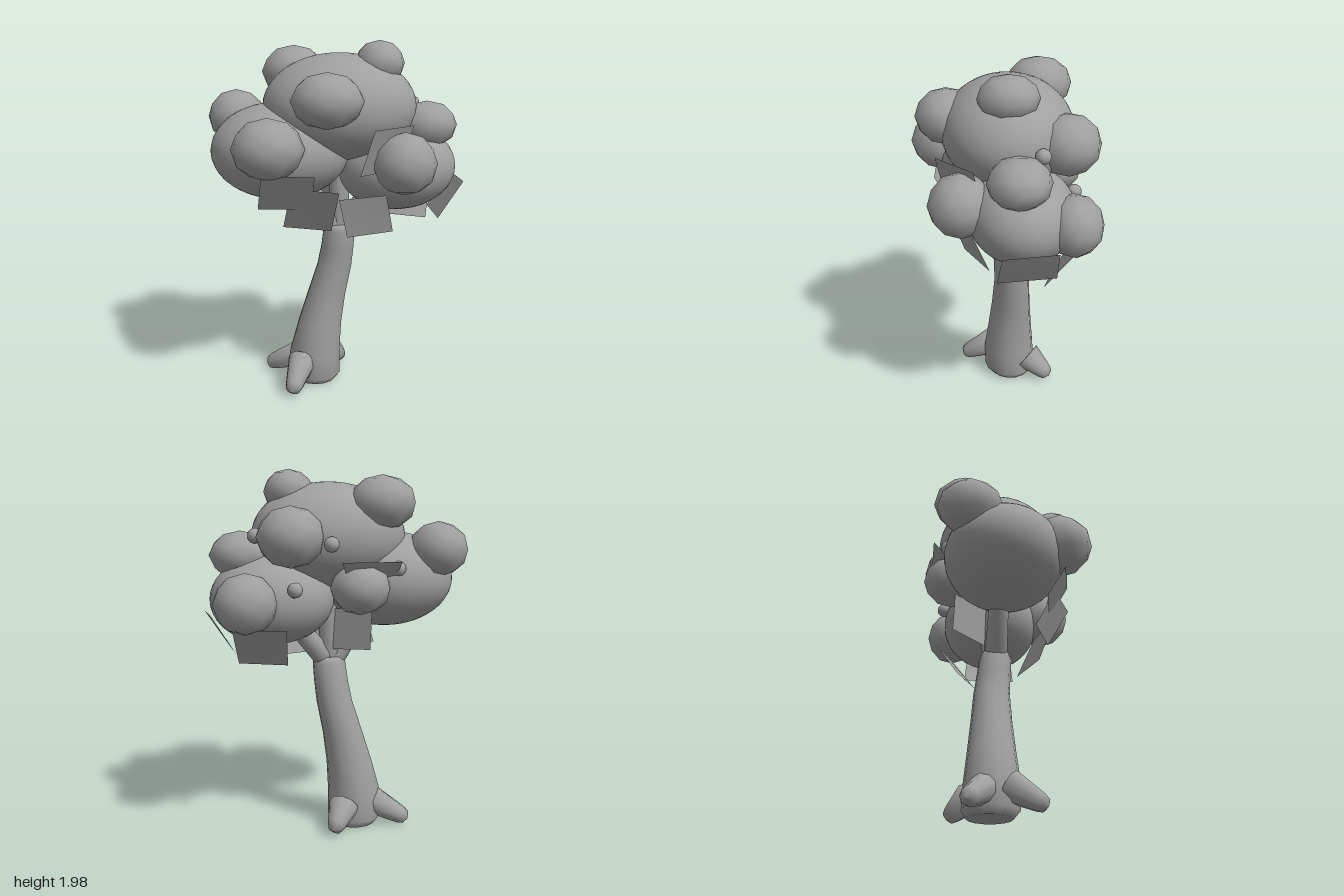
import * as THREE from 'three';
import { mergeVertices } from 'three/addons/utils/BufferGeometryUtils.js';

const V = (p) => new THREE.Vector3(...p);

export function createModel() {
  const tree = new THREE.Group();
  const grey = new THREE.MeshStandardMaterial({ name: 'plain grey', color: 0xa0a0a0 });
  const greyLeaf = grey;
  greyLeaf.side = THREE.DoubleSide;

  const add = (name, geometry) => {
    const mesh = new THREE.Mesh(geometry, grey);
    mesh.name = name;
    tree.add(mesh);
    return mesh;
  };

  // Ellipsoid from a subdivided icosahedron
  const blob = (name, [x, y, z], [rx, ry, rz], detail) => {
    const mesh = add(name, new THREE.IcosahedronGeometry(1, detail).scale(rx, ry, rz));
    mesh.position.set(x, y, z);
  };

  // Round solid tapering from one point to another, with smooth rounded tip
  const limb = (name, from, to, r0, r1, round = 0) => {
    const a = V(from), b = V(to), len = a.distanceTo(b);
    const profile = [new THREE.Vector2(0, 0), new THREE.Vector2(r0, 0), new THREE.Vector2(r1, len)];
    if (round) {
      profile.push(new THREE.Vector2(r1 * 0.75, len + round * 0.65));
    }
    profile.push(new THREE.Vector2(0, len + round));
    const mesh = add(name, new THREE.LatheGeometry(profile, 10));
    mesh.position.copy(a);
    mesh.quaternion.setFromUnitVectors(new THREE.Vector3(0, 1, 0), b.sub(a).normalize());
  };

  // Trunk: rings of [height, radius, centre x, centre z] following a gentle lean
  const rings = [
    [0.02, 0.001, -0.115, -0.07], [0.02, 0.12, -0.115, -0.07], [0.06, 0.15, -0.118, -0.065],
    [0.2, 0.148, -0.118, -0.06], [0.38, 0.128, -0.088, -0.063], [0.55, 0.112, -0.05, -0.065],
    [0.73, 0.1, -0.003, -0.065], [0.85, 0.094, 0.015, -0.055], [0.95, 0.091, 0.024, -0.046],
    [0.985, 0.075, 0.025, -0.045], [0.99, 0.001, 0.025, -0.045],
  ];
  let trunk = new THREE.LatheGeometry(rings.map(([y, r]) => new THREE.Vector2(r, y)), 14);
  const pos = trunk.attributes.position;
  for (let i = 0; i < pos.count; i++) {
    const [, , cx, cz] = rings[i % rings.length];
    pos.setX(i, pos.getX(i) + cx);
    pos.setZ(i, pos.getZ(i) + cz);
  }
  trunk.deleteAttribute('uv');
  trunk.deleteAttribute('normal');
  trunk = mergeVertices(trunk);
  trunk.computeVertexNormals();
  add('trunk', trunk);

  // Roots
  [
    [[-0.19, 0.16, -0.09], [-0.37, 0.07, -0.165]],
    [[-0.19, 0.17, 0.03], [-0.235, 0.075, 0.18]],
    [[-0.04, 0.15, -0.17], [0.02, 0.075, -0.265]],
  ].forEach(([a, b]) => limb('root', a, b, 0.085, 0.05, 0.045));

  // Branches reaching into the crown
  [[-0.22, 1.3, -0.02], [0.28, 1.25, -0.1], [0.03, 1.5, -0.06]]
    .forEach((end) => limb('branch', [0.02, 0.94, -0.045], end, 0.065, 0.05));

  // Three large crown masses
  blob('crownTop', [0.025, 1.645, -0.035], [0.42, 0.29, 0.35], 6);
  blob('crownRightLobe', [-0.3, 1.41, 0], [0.38, 0.265, 0.33], 6);
  blob('crownLeftLobe', [0.34, 1.31, -0.08], [0.335, 0.245, 0.28], 6);

  // Smaller faceted clumps: [centre, radii]
  [
    [[-0.23, 1.82, -0.225], [0.18, 0.145, 0.18]],
    [[0.24, 1.88, -0.02], [0.135, 0.12, 0.158]],
    [[-0.04, 1.71, 0.28], [0.19, 0.145, 0.168]],
    [[-0.345, 1.467, 0.3], [0.192, 0.162, 0.182]],
    [[0.365, 1.378, 0.23], [0.172, 0.167, 0.168]],
    [[-0.553, 1.575, -0.18], [0.16, 0.15, 0.178]],
    [[0.265, 1.645, -0.315], [0.178, 0.158, 0.172]],
    [[0.505, 1.545, -0.05], [0.168, 0.13, 0.162]],
    [[0.5, 1.31, -0.325], [0.168, 0.158, 0.148]],
    [[-0.1, 1.38, -0.3], [0.16, 0.14, 0.155]],
  ].forEach(([c, r]) => blob('leafClump', c, r, 1));

  // Fruits
  [[0.07, 1.61, -0.405], [0.435, 1.65, -0.17], [0.25, 1.38, -0.36], [-0.3, 1.48, -0.31]]
    .forEach((c) => blob('fruit', c, [0.04, 0.04, 0.04], 2));

  // Hanging leaf cards: two top corners, then two bottom corners
  [
    [[-0.38, 1.335, 0.34], [-0.105, 1.335, 0.36], [-0.12, 1.135, 0.25], [-0.41, 1.135, 0.23]],
    [[-0.23, 1.255, 0.28], [0.02, 1.255, 0.375], [-0.02, 1.02, 0.25], [-0.28, 1.02, 0.17]],
    [[0.02, 1.2, 0.295], [0.275, 1.2, 0.19], [0.32, 0.97, 0.085], [0.065, 0.97, 0.205]],
    [[0.2, 1.57, 0.35], [0.415, 1.57, 0.165], [0.34, 1.325, 0.12], [0.13, 1.325, 0.3]],
    [[0.3, 1.18, -0.41], [0.57, 1.18, -0.32], [0.53, 0.98, -0.175], [0.28, 0.98, -0.275]],
    [[0.705, 1.245, 0.05], [0.675, 1.245, -0.23], [0.545, 1.04, -0.24], [0.57, 1.04, 0.065]],
    [[-0.3, 1.52, -0.39], [0.02, 1.52, -0.425], [-0.03, 1.42, -0.33], [-0.28, 1.42, -0.3]],
    [[-0.17, 1.28, -0.27], [0.02, 1.25, -0.08], [0.02, 1.03, -0.1], [-0.16, 1.05, -0.28]],
  ].forEach((corners) => {
    const leaf = new THREE.BufferGeometry().setFromPoints(corners.map(V));
    leaf.setIndex([0, 3, 2, 0, 2, 1]);
    leaf.computeVertexNormals();
    add('leafCard', leaf);
  });

  // Stand on the ground
  tree.children.forEach((part) => { part.position.y -= 0.005; });
  return tree;
}
